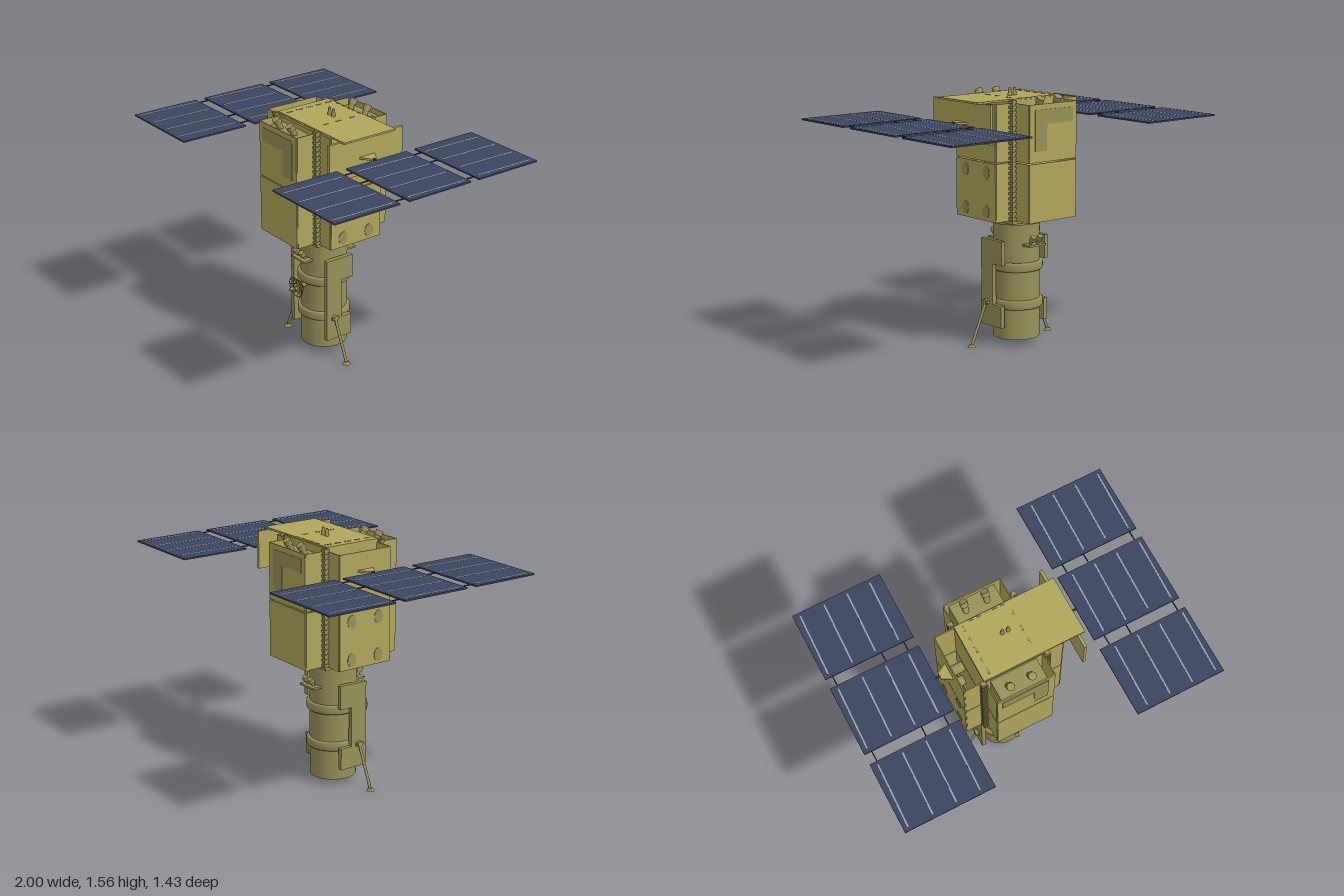
import * as THREE from 'three';

const mat = (name, color, side = THREE.FrontSide) => {
  const m = new THREE.MeshStandardMaterial({ color, side });
  m.name = name;
  return m;
};

export function createModel() {
  const gold = mat('gold foil', 0xb0a65b);
  const olive = mat('olive metal', 0x979159);
  const navy = mat('navy solar cells', 0x3b4560);
  const pale = mat('pale cell seams', 0x98a2b4);
  const dark = mat('dark rods', 0x2a2d33);

  const root = new THREE.Group();
  const CX = -0.05; // axis of the telescope

  const add = (parent, name, geo, material, x = 0, y = 0, z = 0) => {
    const m = new THREE.Mesh(geo, material);
    m.name = name;
    m.position.set(x, y, z);
    parent.add(m);
    return m;
  };
  // box given by its limits on each axis
  const box = (parent, name, material, x0, x1, y0, y1, z0, z1) =>
    add(parent, name, new THREE.BoxGeometry(x1 - x0, y1 - y0, z1 - z0), material,
      (x0 + x1) / 2, (y0 + y1) / 2, (z0 + z1) / 2);
  // cylinder between two points
  const rod = (parent, name, material, a, b, r0, r1 = r0, seg = 14) => {
    const p = new THREE.Vector3(...a), q = new THREE.Vector3(...b);
    const d = q.clone().sub(p);
    const m = add(parent, name, new THREE.CylinderGeometry(r1, r0, d.length(), seg), material);
    m.position.copy(p).add(q).multiplyScalar(0.5);
    m.quaternion.setFromUnitVectors(new THREE.Vector3(0, 1, 0), d.normalize());
    return m;
  };
  const group = (name, x = 0, y = 0, z = 0, parent = root) => {
    const g = new THREE.Group();
    g.name = name;
    g.position.set(x, y, z);
    parent.add(g);
    return g;
  };

  // ---- Equipment section: core and four open bays, in two stages ----
  const body = group('equipmentSection', CX);
  for (const [y0, y1] of [[0.8, 1.146], [1.153, 1.492]]) {
    box(body, 'core', gold, -0.188, 0.188, y0, y1, -0.185, 0.185);
    for (let i = 0; i < 4; i++) {
      const bay = group('bay', 0, 0, 0, body);
      bay.rotation.y = i * Math.PI / 2;
      const out = i % 2 ? 0.315 : 0.33, w = 0.181, t = 0.007;
      box(bay, 'bayPanel', gold, -w, w, y0, y1, out - t, out);
      for (const s of [-1, 1])
        box(bay, 'baySide', gold, s * w - t / 2, s * w + t / 2, y0, y1, 0.18, out - t);
    }
  }

  // Instrument boxes in the front and back bays, with exposed faces and star trackers
  for (const s of [-1, 1]) {
    const z = (a) => [Math.min(s * a, s * 0.324), Math.max(s * a, s * 0.324)];
    box(root, 'instrumentBox', olive, -0.2, 0.09, 1.22, 1.46, ...z(0.18));
    const face = (x0, x1, y0, y1) =>
      box(root, 'instrumentFace', olive, x0, x1, y0, y1, s * 0.331 - 0.002, s * 0.331 + 0.002);
    face(-0.2, 0.09, 1.375, 1.46);
    face(0, 0.09, 1.22, 1.375);
    for (const x of [-0.125, 0.01]) {
      rod(root, 'starTracker', olive, [x, 1.45, s * 0.25], [x, 1.512, s * 0.28], 0.018);
      rod(root, 'starTrackerHood', olive, [x, 1.495, s * 0.272], [x, 1.522, s * 0.288], 0.024);
    }
  }

  // Pressure bottles lying across the section, their ends flush with the side panels
  for (const y of [0.857, 1.087])
    for (const z of [-0.096, 0.096]) {
      const b = rod(root, 'pressureBottle', olive, [-0.368, y, z], [0.268, y, z], 0.04, 0.04, 24);
      b.scale.set(1, 1, 0.75);
      b.geometry.rotateY(0);
      b.quaternion.setFromEuler(new THREE.Euler(0, 0, Math.PI / 2));
    }

  // Toothed corner rails
  for (const sx of [-1, 1])
    for (const sz of [-1, 1]) {
      const rail = group('cornerRail', sx * 0.199, 0, sz * 0.2, body);
      box(rail, 'railPost', olive, -0.011, 0.011, 0.8, 1.512, -0.011, 0.011);
      for (let i = 0; i < 24; i++)
        add(rail, 'railTooth', new THREE.BoxGeometry(0.034, 0.015, 0.034), olive, 0, 0.815 + i * 0.0298, 0);
    }

  // ---- Roof plate, sunshade and roof aerials ----
  box(body, 'roofBlock', gold, -0.19, 0.19, 1.49, 1.506, -0.185, 0.19);
  box(root, 'roofPlate', gold, -0.24, 0.395, 1.503, 1.514, -0.18, 0.188);
  box(root, 'sunshade', gold, 0.347, 0.364, 1.275, 1.505, -0.258, 0.27);
  for (let i = 0; i < 5; i++) {
    const z = -0.14 + i * 0.07;
    box(root, 'roofMark', olive, -0.197, -0.185, 1.512, 1.516, z - 0.02, z + 0.02);
    box(root, 'roofMark', olive, -0.15 + i * 0.05, -0.12 + i * 0.05, 1.512, 1.516, -0.178, -0.168);
  }
  for (const z of [-0.1, 0, 0.09])
    box(root, 'roofMark', olive, 0.09, 0.102, 1.512, 1.516, z - 0.02, z + 0.02);
  for (const x of [-0.017, 0.02])
    rod(root, 'roofAerial', olive, [x, 1.51, -0.02], [x, 1.56, -0.02], 0.014, 0.007);

  // ---- Telescope tube ----
  const tube = group('telescope', CX);
  box(tube, 'mountPlate', olive, -0.2, 0.2, 0.777, 0.802, -0.198, 0.198);
  add(tube, 'collar', new THREE.CylinderGeometry(0.16, 0.16, 0.03, 40), olive, 0, 0.765, 0);
  add(tube, 'barrel', new THREE.CylinderGeometry(0.141, 0.141, 0.74, 48), olive, 0, 0.41, 0);
  const ringProfile = [[0.138, -0.028], [0.152, -0.028], [0.16, -0.02], [0.16, 0.02], [0.152, 0.028], [0.138, 0.028]]
    .map(([r, y]) => new THREE.Vector2(r, y));
  for (const y of [0.255, 0.487])
    add(tube, 'barrelRing', new THREE.LatheGeometry(ringProfile, 48), olive, 0, y, 0);

  // Notched side panels: shape drawn in (-z, y), extruded along x
  const panelShape = new THREE.Shape([[-0.112, 0.12], [0.072, 0.12], [0.072, 0.255], [-0.004, 0.255],
    [-0.004, 0.505], [0.078, 0.505], [0.078, 0.652], [-0.112, 0.652]].map((p) => new THREE.Vector2(...p)));
  const panelGeo = new THREE.ExtrudeGeometry(panelShape, { depth: 0.028, bevelEnabled: false });
  panelGeo.rotateY(Math.PI / 2);
  for (const s of [-1, 1]) {
    add(tube, 'sidePanel', panelGeo, olive, s * 0.17 - 0.014, 0, 0);
    // Support leg with pivot and foot
    rod(tube, 'leg', olive, [s * 0.19, 0.27, 0.057], [s * 0.302, 0.012, 0.057], 0.009);
    rod(tube, 'legPivot', olive, [s * 0.192, 0.265, 0.033], [s * 0.192, 0.265, 0.081], 0.011);
    rod(tube, 'legBracket', olive, [s * 0.17, 0.265, 0.057], [s * 0.205, 0.265, 0.057], 0.018);
    rod(tube, 'foot', olive, [s * 0.305, 0, 0.057], [s * 0.305, 0.016, 0.057], 0.025, 0.014, 20);
    // Twin horn aerials on a small shelf, front and back
    box(tube, 'hornShelf', olive, -0.065, 0.065, 0.62, 0.632, s > 0 ? 0.13 : -0.195, s > 0 ? 0.195 : -0.13);
    for (const x of [-0.027, 0.027]) {
      rod(tube, 'horn', olive, [x, 0.628, s * 0.158], [x, 0.66, s * 0.177], 0.01);
      rod(tube, 'hornHead', olive, [x, 0.655, s * 0.174], [x, 0.68, s * 0.189], 0.018);
    }
  }

  // ---- Mesh dish aerial on the front ----
  const dish = group('dishAerial', -0.053, 0.445, 0.168);
  rod(dish, 'dishArm', olive, [0, -0.01, -0.035], [0, 0, 0.004], 0.014);
  dish.rotation.x = 0.1;
  const depth = (r) => 10 * r * r;
  for (const r of [0.016, 0.033, 0.049, 0.064])
    add(dish, 'dishRing', new THREE.TorusGeometry(r, 0.0028, 5, 24), olive, 0, 0, depth(r));
  for (let i = 0; i < 12; i++) {
    const a = i * Math.PI / 6;
    const pts = [0, 0.02, 0.042, 0.064].map((r) => new THREE.Vector3(Math.cos(a) * r, Math.sin(a) * r, depth(r)));
    add(dish, 'dishRib', new THREE.TubeGeometry(new THREE.CatmullRomCurve3(pts), 6, 0.0026, 5), olive);
  }
  for (let i = 0; i < 3; i++) {
    const a = Math.PI / 2 + i * Math.PI * 2 / 3;
    rod(dish, 'feedStrut', olive, [Math.cos(a) * 0.05, Math.sin(a) * 0.05, 0.025], [0, 0, 0.072], 0.0025, 0.0025, 6);
  }
  rod(dish, 'feed', olive, [0, 0, 0.062], [0, 0, 0.085], 0.012, 0.009);

  // ---- Solar wings ----
  for (const s of [-1, 1]) {
    const wing = group('solarWing', 0, 1.38, 0);
    for (const z of [-0.498, -0.002, 0.498]) {
      add(wing, 'solarPanel', new THREE.BoxGeometry(0.554, 0.009, 0.436), navy, s * 0.723, 0, z);
      for (const x of [0.525, 0.67, 0.815, 0.965]) {
        const seam = add(wing, 'cellSeam', new THREE.BoxGeometry(0.009, 0.001, 0.39), pale, s * x, 0.0048, z);
        seam.rotation.y = -0.03;
      }
    }
    for (const z of [-0.25, 0.248])
      for (const x of [0.51, 0.65, 0.955])
        box(wing, 'panelLink', dark, s * x - 0.003, s * x + 0.003, -0.003, 0.003, z - 0.035, z + 0.035);
    // Tapered yoke joining the wing to the body
    const yoke = new THREE.Shape([[0.364, -0.055], [0.425, -0.02], [0.425, 0.02], [0.364, 0.055]]
      .map(([x, y]) => new THREE.Vector2(x, y)));
    const yokeGeo = new THREE.ExtrudeGeometry(yoke, { depth: 0.012, bevelEnabled: false });
    yokeGeo.translate(0, 0, -0.006).rotateX(Math.PI / 2);
    const y = add(wing, 'wingYoke', yokeGeo, gold);
    if (s < 0) y.rotation.y = Math.PI;
    rod(wing, 'wingHinge', dark, [s * 0.42, 0, 0], [s * 0.455, 0, 0], 0.007);
  }
  return root;
}
